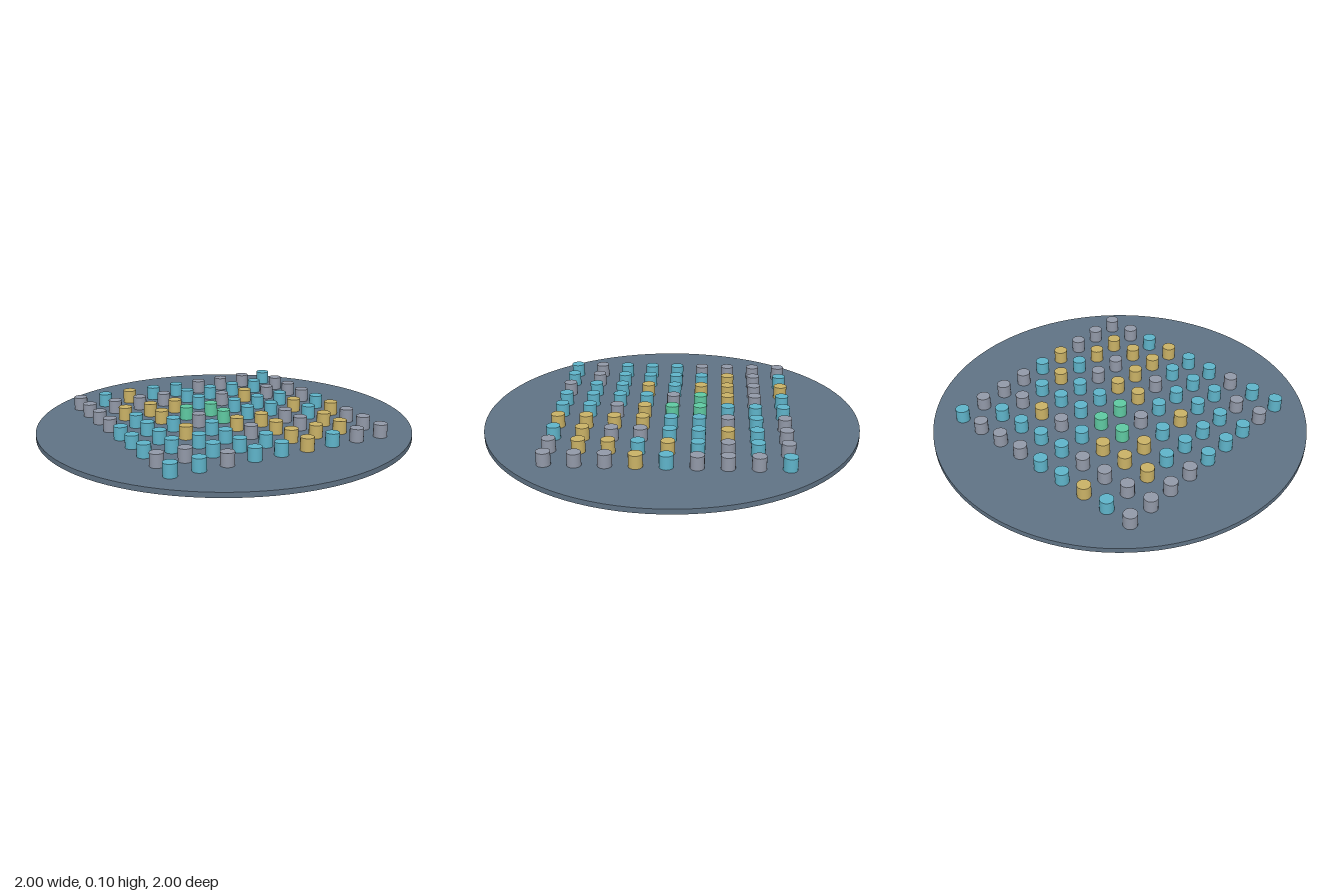
import * as THREE from 'three';

const material = (name, color) => {
  const m = new THREE.MeshStandardMaterial({ color });
  m.name = name;
  return m;
};

export function createModel() {
  const model = new THREE.Group();
  model.name = 'pegBoard';

  // Round base plate
  const baseHeight = 0.027;
  const base = new THREE.Mesh(
    new THREE.CylinderGeometry(1, 1, baseHeight, 96),
    material('slate', 0x607385)
  );
  base.name = 'basePlate';
  base.position.y = baseHeight / 2;
  model.add(base);

  // Peg colours, one letter per peg; rows run from back to front
  const colours = {
    g: material('grey', 0x9299a8),
    t: material('teal', 0x5fb4ca),
    y: material('gold', 0xcab266),
    e: material('green', 0x5fcaa2),
  };
  const rows = [
    'gtyttgggt',
    'ggggttttg',
    'gyyytgygg',
    'gtyeetttg',
    'tttgettyt',
    'ttytyygty',
    'ttttgygyg',
    'ggtttyyyg',
    'ttgttytgg',
  ];

  // Square grid of pegs
  const spacing = 0.149;
  const pegHeight = 0.07;
  const pegGeometry = new THREE.CylinderGeometry(0.036, 0.036, pegHeight, 20);
  const pegs = new THREE.Group();
  pegs.name = 'pegs';
  rows.forEach((row, r) => {
    [...row].forEach((key, c) => {
      const peg = new THREE.Mesh(pegGeometry, colours[key]);
      peg.name = 'peg';
      peg.position.set((c - 4) * spacing - 0.002, baseHeight + pegHeight / 2, (r - 4) * spacing - 0.002);
      pegs.add(peg);
    });
  });
  model.add(pegs);

  return model;
}
